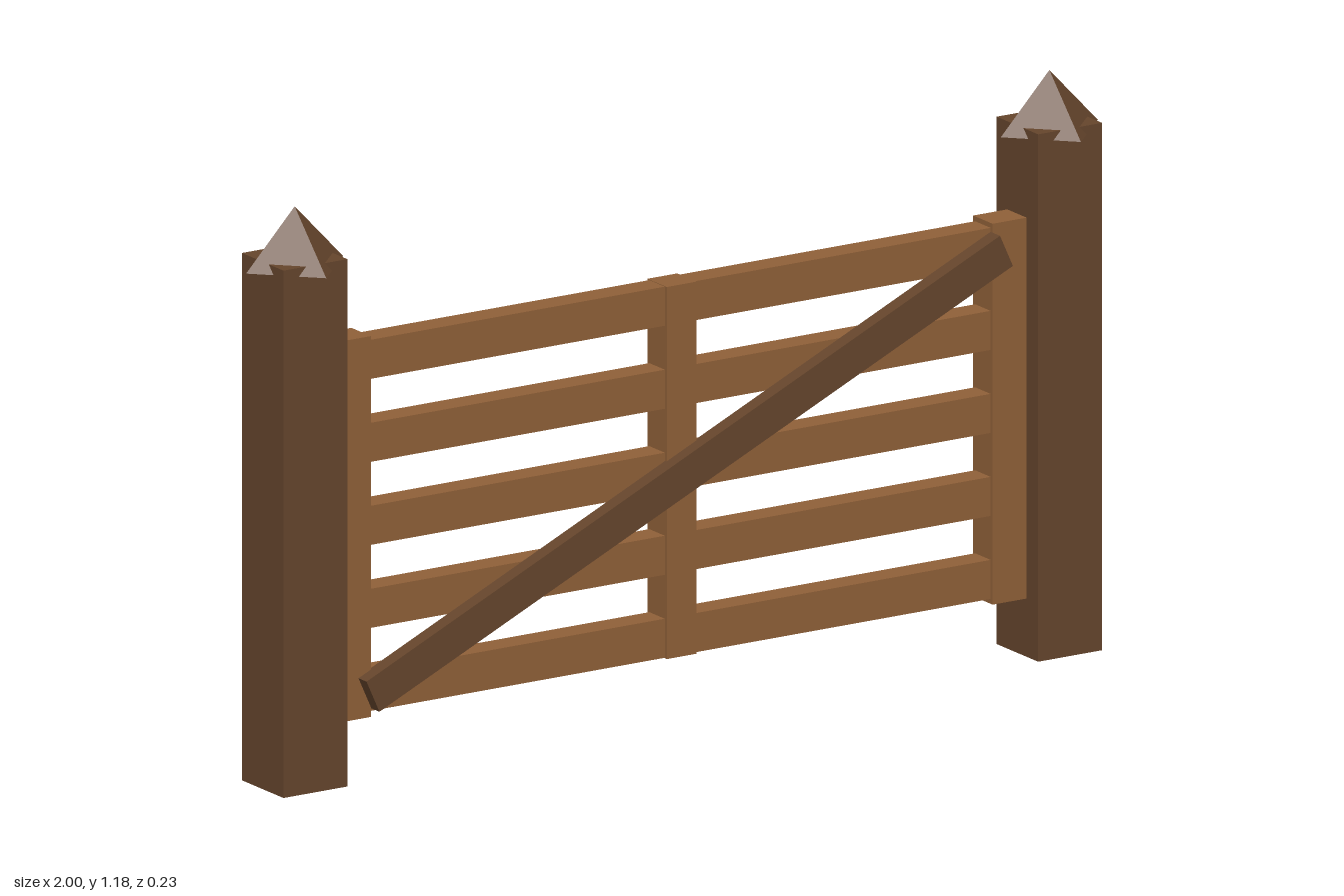
import * as THREE from 'three';

export function createModel() {
  const gate = new THREE.Group();
  gate.name = 'gate';
  const darkWood = new THREE.MeshStandardMaterial({ color: 0x65452c });
  darkWood.name = 'dark wood';
  const lightWood = new THREE.MeshStandardMaterial({ color: 0x8f6038 });
  lightWood.name = 'light wood';

  function add(name, geometry, material, x, y, z = 0) {
    const mesh = new THREE.Mesh(geometry, material);
    mesh.name = name;
    mesh.position.set(x, y, z);
    gate.add(mesh);
    return mesh;
  }
  const box = (w, h, d) => new THREE.BoxGeometry(w, h, d);

  // Posts with pointed caps, and the upright at each end of the gate
  const capGeometry = new THREE.ConeGeometry(0.114, 0.12, 4).toNonIndexed();
  capGeometry.computeVertexNormals();
  for (const [side, s] of [['left', 1], ['right', -1]]) {
    add(side + 'Post', box(0.15, 1.08, 0.15), darkWood, s * 0.886, 0.54);
    add(side + 'PostCap', capGeometry, darkWood, s * 0.886, 1.122);
    add(side + 'Stile', box(0.08, 0.78, 0.07), lightWood, s * 0.77, 0.51);
  }

  // Five horizontal rails
  for (let i = 0; i < 5; i++) {
    add('rail' + (i + 1), box(1.5, 0.08, 0.056), lightWood, 0, 0.17 + i * 0.17);
  }

  // Middle upright
  add('middleStile', box(0.07, 0.762, 0.07), lightWood, 0, 0.51);

  // Diagonal brace across the front
  const brace = add('diagonalBrace', box(1.635, 0.073, 0.034), darkWood, 0, 0.51, 0.047);
  brace.rotation.z = Math.atan2(0.68, 1.49);

  return gate;
}
